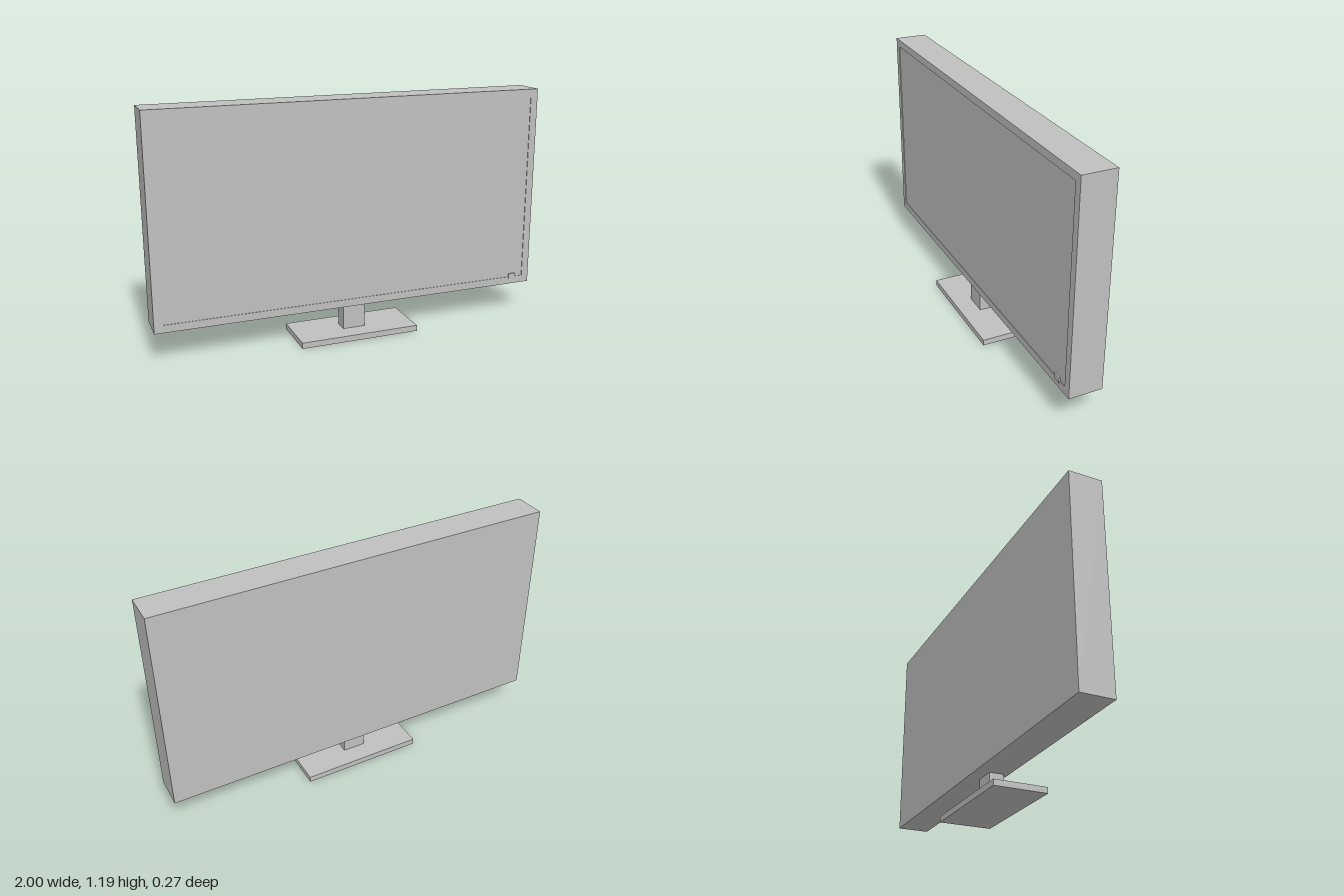
import * as THREE from 'three';

const grey = new THREE.MeshStandardMaterial({ color: 0xbfbfbf });
grey.name = 'light grey plastic';

// Box given by its min and max corners
function box(name, [x0, y0, z0], [x1, y1, z1]) {
  const geo = new THREE.BoxGeometry(x1 - x0, y1 - y0, z1 - z0);
  geo.translate((x0 + x1) / 2, (y0 + y1) / 2, (z0 + z1) / 2);
  const mesh = new THREE.Mesh(geo, grey);
  mesh.name = name;
  return mesh;
}

// Closed rectangle outline for the bezel
function rectangle(path, x, y0, y1) {
  path.moveTo(-x, y0);
  path.lineTo(x, y0);
  path.lineTo(x, y1);
  path.lineTo(-x, y1);
  path.closePath();
  return path;
}

export function createModel() {
  const model = new THREE.Group();
  model.name = 'monitor';

  const bottom = 0.155, top = 1.193, back = -0.105, front = 0.06;
  const border = 0.038, recess = 0.003;

  // Casing, with the screen in a very shallow recess
  const frame = rectangle(new THREE.Shape(), 1, bottom, top);
  frame.holes.push(rectangle(new THREE.Path(), 1 - border, bottom + border, top - border));
  const casingGeo = new THREE.ExtrudeGeometry(frame, { depth: front - back, bevelEnabled: false });
  casingGeo.translate(0, 0, back);
  const casing = new THREE.Mesh(casingGeo, grey);
  casing.name = 'casing';
  model.add(casing);
  model.add(box('screen', [-1 + border, bottom + border, back], [1 - border, top - border, front - recess]));

  // Small power button on the lower bezel
  model.add(box('powerButton', [0.88, 0.185, front - recess], [0.92, 0.211, front + 0.005]));

  // Stand
  model.add(box('standNeck', [-0.057, 0.03, -0.037], [0.057, bottom, 0.037]));
  model.add(box('standBase', [-0.307, 0, -0.134], [0.307, 0.03, 0.134]));

  return model;
}
